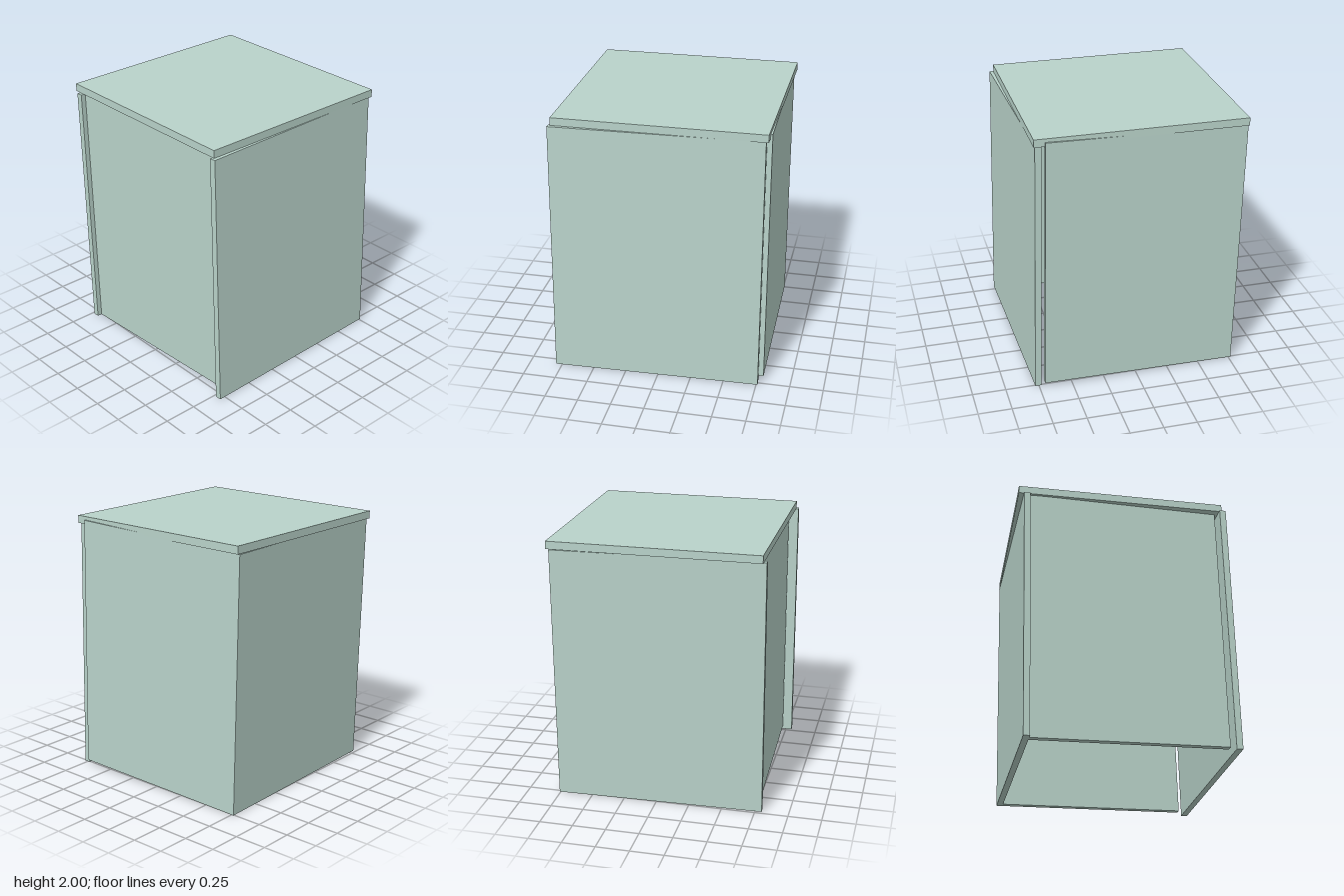
import * as THREE from 'three';

export function createModel() {
  const model = new THREE.Group();
  model.name = 'box';
  const material = new THREE.MeshStandardMaterial({ color: 0xb9d3ca });

  // Board given by its min and max corners
  function board(name, parent, min, max) {
    const size = max.map((v, i) => v - min[i]);
    const mesh = new THREE.Mesh(new THREE.BoxGeometry(...size), material);
    mesh.position.set(...max.map((v, i) => (v + min[i]) / 2));
    mesh.name = name;
    parent.add(mesh);
    return mesh;
  }

  // Level lid
  board('lid', model, [-0.78, 1.942, -0.818], [0.78, 2, 0.74]);

  // Walls lean back and turn slightly under the lid; the bottom is open
  const walls = new THREE.Group();
  walls.name = 'walls';
  walls.rotation.set(-0.025, 0.025, 0);
  model.add(walls);

  const t = 0.047; // board thickness
  const low = 0.019, high = 1.957;
  const back = -0.749, sideFront = 0.728;
  board('backWall', walls, [-0.782, low, back], [0.777, high, back + t]);
  board('leftWall', walls, [0.777 - t, low, back + t], [0.777, high, sideFront]);
  board('rightWall', walls, [-0.745, low, back + t], [-0.745 + t, high, sideFront]);

  // Front board sits loose: shifted down, sideways and forward
  board('frontWall', walls, [-0.817, -0.019, 0.749], [0.741, 1.922, 0.749 + t]);

  return model;
}
